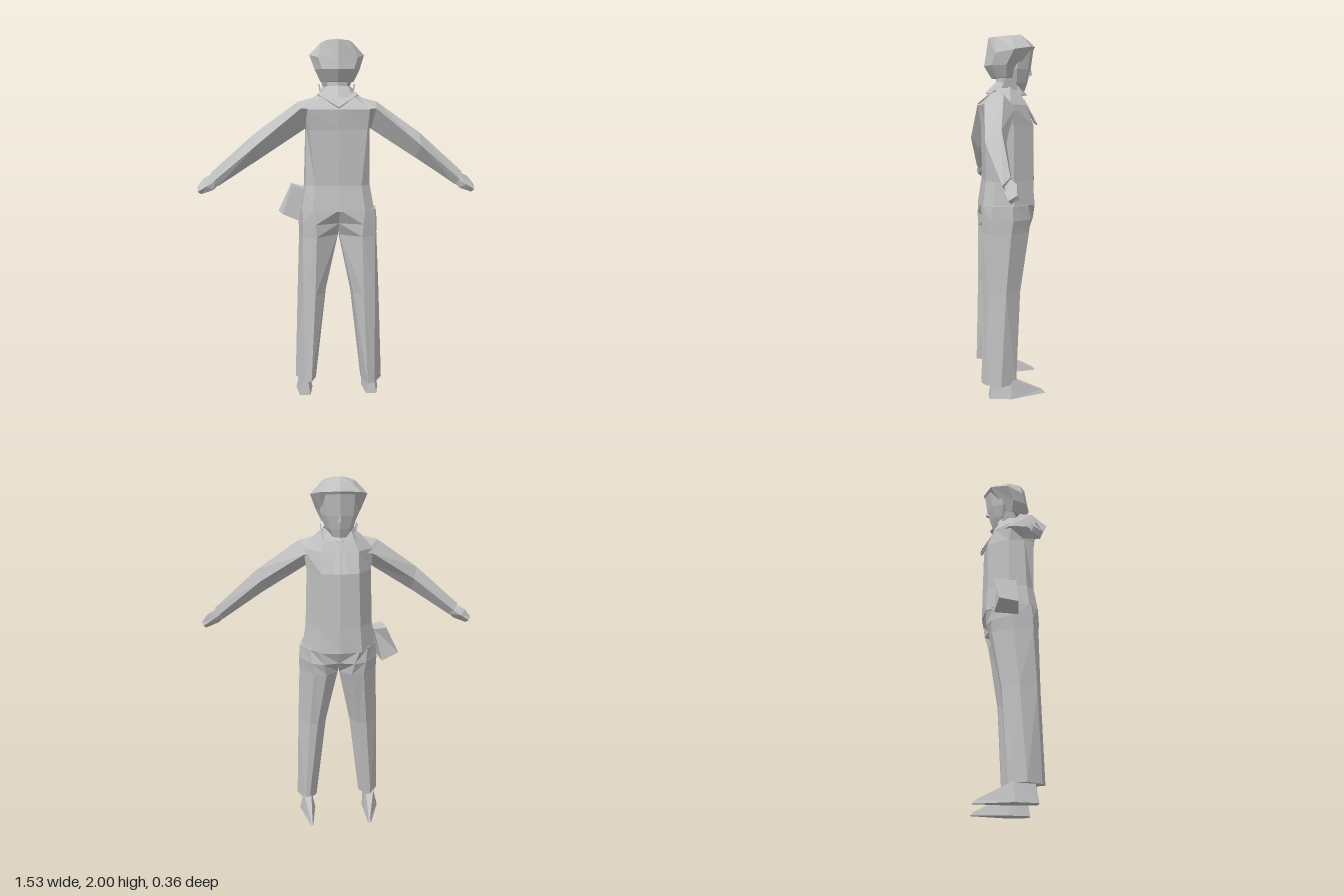
import * as THREE from 'three';

const grey = new THREE.MeshStandardMaterial({ color: 0xc0c0c0, side: THREE.DoubleSide });
grey.name = 'grey';

// Faceted skin through rings of [x, y, z] points, wound outward
function loft(name, rings, capped = true) {
  const tris = [];
  const n = rings[0].length;
  for (let r = 0; r < rings.length - 1; r++) {
    const a = rings[r], b = rings[r + 1];
    for (let i = 0; i < n; i++) {
      const j = (i + 1) % n;
      tris.push([a[i], b[i], b[j]], [a[i], b[j], a[j]]);
    }
  }
  if (capped) {
    const a = rings[0], b = rings[rings.length - 1];
    for (let i = 1; i < n - 1; i++) tris.push([a[0], a[i], a[i + 1]], [b[0], b[i + 1], b[i]]);
  }
  // the signed volume tells whether the skin is inside out
  const v = tris.map(t => t.map(p => new THREE.Vector3(...p)));
  const o = v[0][0].clone();
  let volume = 0;
  for (const [a, b, c] of v) {
    volume += a.clone().sub(o).dot(b.clone().sub(o).cross(c.clone().sub(o)));
  }
  if (volume < 0) v.forEach(t => t.reverse());
  const geometry = new THREE.BufferGeometry().setFromPoints(v.flat());
  geometry.computeVertexNormals();
  const mesh = new THREE.Mesh(geometry, grey);
  mesh.name = name;
  return mesh;
}

// Horizontal oval ring between two depths
function oval(y, rx, zFront, zBack, n = 8, tilt = 0) {
  const mid = (zFront + zBack) / 2, rz = (zBack - zFront) / 2;
  return Array.from({ length: n }, (_, i) => {
    const a = (i / n) * Math.PI * 2;
    return [rx * Math.sin(a), y + tilt * Math.cos(a), mid - rz * Math.cos(a)];
  });
}

// Full ring from a half outline of [x, z], front centre to back centre
function mirrored(y, half) {
  const right = half.slice(1, -1).reverse().map(([x, z]) => [-x, z]);
  return [...half, ...right].map(([x, z]) => [x, y, z]);
}

const level = (y, s, outline) => outline.map(([x, z]) => [s * x, y, z]);

export function createModel() {
  const model = new THREE.Group();
  model.name = 'figure';

  // Jacket
  model.add(loft('jacket', [
    mirrored(1.07, [[0, -0.14], [0.12, -0.125], [0.205, 0], [0.2, 0.11], [0.145, 0.165], [0, 0.17]]),
    mirrored(1.21, [[0, -0.14], [0.11, -0.115], [0.185, 0], [0.175, 0.1], [0.125, 0.145], [0, 0.15]]),
    mirrored(1.51, [[0, -0.135], [0.1, -0.12], [0.175, 0], [0.172, 0.09], [0.155, 0.145], [0, 0.16]]),
    mirrored(1.62, [[0, -0.09], [0.1, -0.08], [0.19, 0.02], [0.19, 0.1], [0.165, 0.16], [0, 0.17]]),
    mirrored(1.71, [[0, -0.05], [0.06, -0.04], [0.1, 0.01], [0.1, 0.06], [0.06, 0.085], [0, 0.09]]),
  ]));

  for (const s of [1, -1]) {
    const side = s > 0 ? 'left' : 'right';

    // Trouser leg, meeting its twin on the centre line above the crotch
    const leg = loft(side + 'Leg', [
      level(s > 0 ? 0.08 : 0.1, s, [[0.13, 0.05], [0.175, -0.01], [0.2, -0.01], [0.248, 0.08], [0.2, 0.16], [0.16, 0.18], [0.133, 0.11]]),
      level(0.6, s, [[0.07, 0.03], [0.12, -0.037], [0.165, -0.037], [0.232, 0.05], [0.2, 0.145], [0.135, 0.17], [0.08, 0.11]]),
      level(0.93, s, [[0.004, -0.04], [0.07, -0.1], [0.14, -0.09], [0.22, 0.02], [0.2, 0.13], [0.125, 0.168], [0.004, 0.08]]),
      level(1.0, s, [[0, -0.1], [0.085, -0.12], [0.15, -0.095], [0.222, 0.01], [0.2, 0.13], [0.13, 0.17], [0, 0.12]]),
      level(1.08, s, [[0, -0.138], [0.115, -0.125], [0.16, -0.08], [0.215, 0.01], [0.2, 0.12], [0.14, 0.165], [0, 0.165]]),
    ]);
    leg.position.x = 0.005;
    model.add(leg);

    // Pointed shoe: heel, instep and toe sections
    const shoe = [[0.14, 0.16, 0.22, 0.1], [0.02, 0.145, 0.24, 0.11], [-0.18, 0.165, 0.18, 0.025]];
    model.add(loft(side + 'Shoe', shoe.map(([z, inner, outer, top]) => {
      const mid = (inner + outer) / 2, w = (outer - inner) * 0.25;
      return [[s * inner, 0.004, z], [s * outer, 0.004, z],
        [s * (mid + w), top, z * 0.9], [s * (mid - w), top, z * 0.9]];
    })));

    // Sleeve: top, back, bottom and front corners at each section
    const arm = (...points) => points.map(([x, y, z]) => [s * x, y, z]);
    model.add(loft(side + 'Arm', [
      arm([0.1, 1.69, 0.06], [0.14, 1.62, 0.16], [0.14, 1.53, 0.08], [0.14, 1.6, -0.03]),
      arm([0.215, 1.66, 0.06], [0.2, 1.625, 0.16], [0.18, 1.515, 0.085], [0.19, 1.59, 0.0]),
      arm([0.445, 1.495, 0.1], [0.44, 1.43, 0.18], [0.42, 1.36, 0.13], [0.43, 1.43, 0.075]),
      arm([0.69, 1.28, 0.09], [0.67, 1.24, 0.125], [0.65, 1.21, 0.11], [0.67, 1.24, 0.078]),
    ]));

    // Mitten hand
    model.add(loft(side + 'Hand', [
      arm([0.68, 1.275, 0.09], [0.66, 1.24, 0.115], [0.65, 1.215, 0.1], [0.665, 1.24, 0.08]),
      arm([0.73, 1.25, 0.065], [0.71, 1.21, 0.12], [0.675, 1.19, 0.11], [0.71, 1.215, 0.06]),
      arm([0.765, 1.205, 0.07], [0.76, 1.18, 0.11], [0.745, 1.165, 0.095], [0.755, 1.185, 0.06]),
    ]));

    // Loose scarf end on the chest
    model.add(loft(side + 'ScarfEnd', [
      arm([0.005, 1.65, -0.085], [0.02, 1.65, -0.082], [0.02, 1.65, -0.078], [0.005, 1.65, -0.081]),
      arm([0.008, 1.51, -0.158], [0.042, 1.525, -0.147], [0.042, 1.525, -0.143], [0.008, 1.51, -0.154]),
    ]));

    // Upturned collar wing
    model.add(loft(side + 'CollarWing', [
      level(1.7, s, [[0.09, -0.03], [0.09, 0.06], [0.085, 0.06], [0.085, -0.03]]),
      level(1.755, s, [[0.1, -0.02], [0.1, 0.035], [0.095, 0.035], [0.095, -0.02]]),
    ]));
  }

  // Neck and sloping collar
  model.add(loft('neck', [oval(1.66, 0.065, -0.03, 0.08, 6), oval(1.8, 0.06, -0.04, 0.07, 6)]));
  model.add(loft('collar', [
    oval(1.68, 0.112, -0.1, 0.135, 8, -0.005),
    oval(1.735, 0.085, -0.055, 0.075, 8, -0.01),
  ], false));

  // Scarf point hanging over the back
  model.add(loft('scarfBack', [
    [[-0.11, 1.7, 0.09], [0.11, 1.7, 0.09], [0, 1.63, 0.176]],
    [[-0.11, 1.694, 0.086], [0.11, 1.694, 0.086], [0, 1.624, 0.17]],
  ]));

  // Face with nose
  model.add(loft('face', [
    oval(1.67, 0.03, -0.075, -0.02),
    oval(1.74, 0.075, -0.1, 0.04),
    oval(1.81, 0.098, -0.118, 0.06),
    oval(1.92, 0.108, -0.134, 0.06),
  ]));
  model.add(loft('nose', [
    [[-0.02, 1.775, -0.095], [0.02, 1.775, -0.095], [0, 1.85, -0.11]],
    [[-0.004, 1.782, -0.127], [0.004, 1.782, -0.127], [0, 1.792, -0.127]],
  ]));

  // Hair: full at the back, rising to a fringe over the brow
  model.add(loft('hair', [
    oval(1.765, 0.09, -0.045, 0.1),
    oval(1.83, 0.122, -0.075, 0.14),
    oval(1.91, 0.15, -0.143, 0.13, 8, 0.025),
    oval(1.975, 0.088, -0.11, 0.115, 8, -0.008),
    oval(1.998, 0.02, -0.065, 0.0, 8, 0.002),
  ]));

  // Tilted hip bag
  model.add(loft('hipBag', [
    [[-0.33, 1.045, -0.065], [-0.235, 1.005, -0.085], [-0.22, 1.005, 0.047], [-0.305, 1.04, 0.04]],
    [[-0.255, 1.2, -0.09], [-0.19, 1.185, -0.07], [-0.185, 1.18, 0.045], [-0.245, 1.2, 0.035]],
  ]));

  return model;
}
